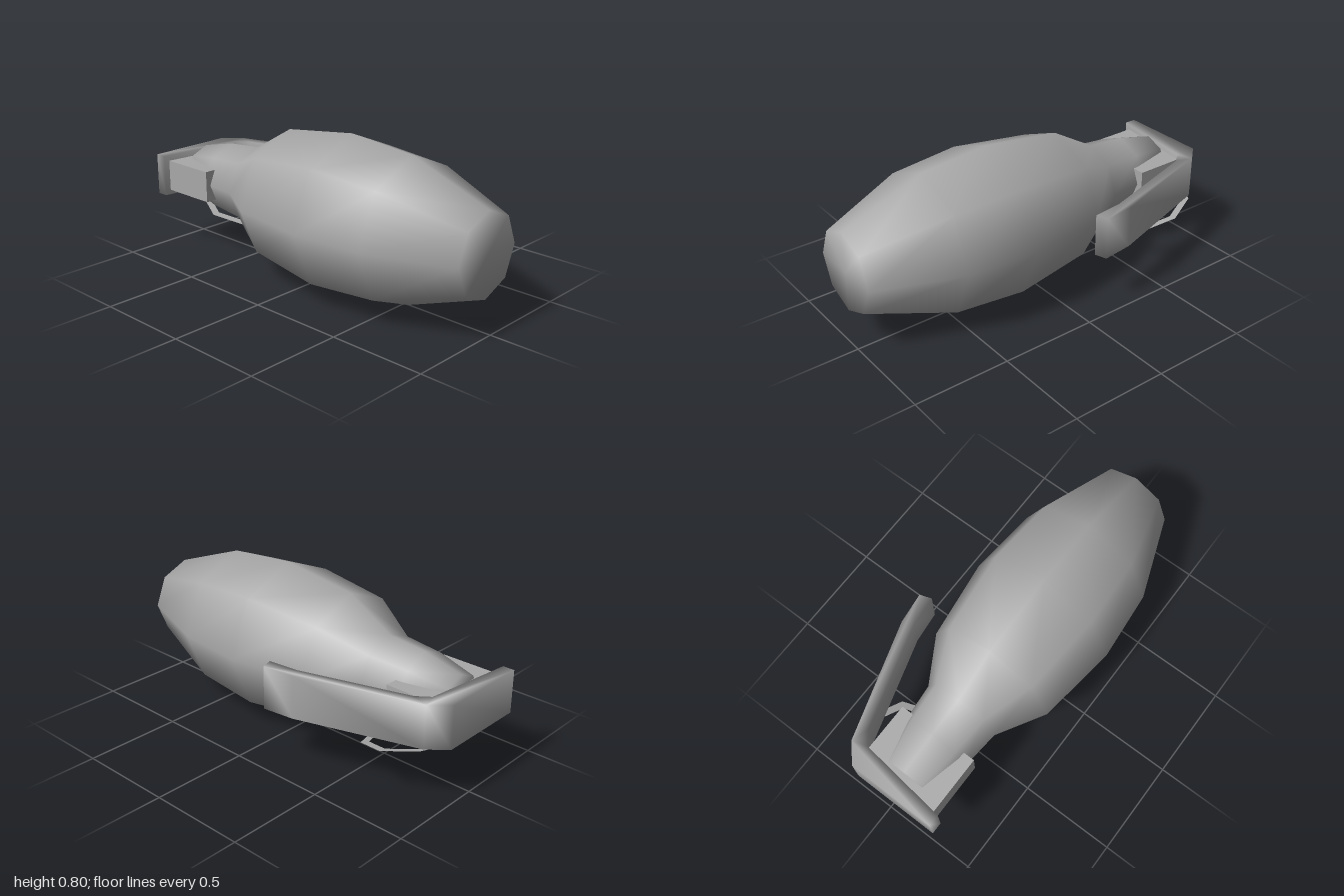
import * as THREE from 'three';
import { mergeVertices } from 'three/addons/utils/BufferGeometryUtils.js';

const grey = new THREE.MeshStandardMaterial({ color: 0xa8a8a8 });
grey.name = 'grey';
const thinGrey = grey;
thinGrey.side = THREE.DoubleSide;

function addPart(group, name, geometry) {
  const mesh = new THREE.Mesh(geometry, grey);
  mesh.name = name;
  group.add(mesh);
  return mesh;
}

// Welds corners so shading rolls softly over the edges
function smooth(geometry) {
  geometry.deleteAttribute('normal');
  geometry.deleteAttribute('uv');
  const welded = mergeVertices(geometry, 1e-4);
  welded.computeVertexNormals();
  return welded;
}

export function createModel() {
  const group = new THREE.Group();
  const cx = -0.055, cy = 0.405;

  // Eight-sided body and neck: [radius, z]
  const profile = [
    [0, -0.88], [0.135, -0.88], [0.185, -0.67], [0.205, -0.46], [0.346, -0.22],
    [0.402, 0.2], [0.37, 0.57], [0.21, 1], [0, 1],
  ].map(([r, z]) => new THREE.Vector2(r, z));
  const body = addPart(group, 'body', new THREE.LatheGeometry(profile, 8).rotateX(Math.PI / 2));
  body.position.set(cx, cy, 0);

  // Block around the neck that carries the lever
  const bracket = addPart(group, 'bracket', new THREE.BoxGeometry(0.435, 0.165, 0.31));
  bracket.position.set(-0.0525, 0.4025, -0.785);

  // Bent safety lever, drawn in plan (x, z) and extruded in height
  const plan = [
    [-0.3, -1], [0.165, -1], [0.245, -0.91], [0.435, -0.3], [0.455, -0.135],
    [0.393, -0.115], [0.375, -0.28], [0.215, -0.82], [0.165, -0.885], [-0.3, -0.94],
  ].map(([x, z]) => new THREE.Vector2(x, z));
  const leverGeometry = new THREE.ExtrudeGeometry(new THREE.Shape(plan), { depth: 0.22, bevelEnabled: false });
  leverGeometry.rotateX(Math.PI / 2);
  const lever = addPart(group, 'lever', smooth(leverGeometry));
  lever.position.y = 0.515;

  // Flat eight-sided pull ring, tilted by shearing its height
  const ringGeometry = new THREE.RingGeometry(0.198, 0.237, 8).rotateX(-Math.PI / 2);
  const p = ringGeometry.attributes.position;
  for (let i = 0; i < p.count; i++) p.setY(i, 0.12 * p.getX(i) - 0.26 * p.getZ(i));
  ringGeometry.computeVertexNormals();
  const ring = addPart(group, 'pullRing', ringGeometry);
  ring.position.set(0.09, 0.222, -0.73);

  return group;
}
